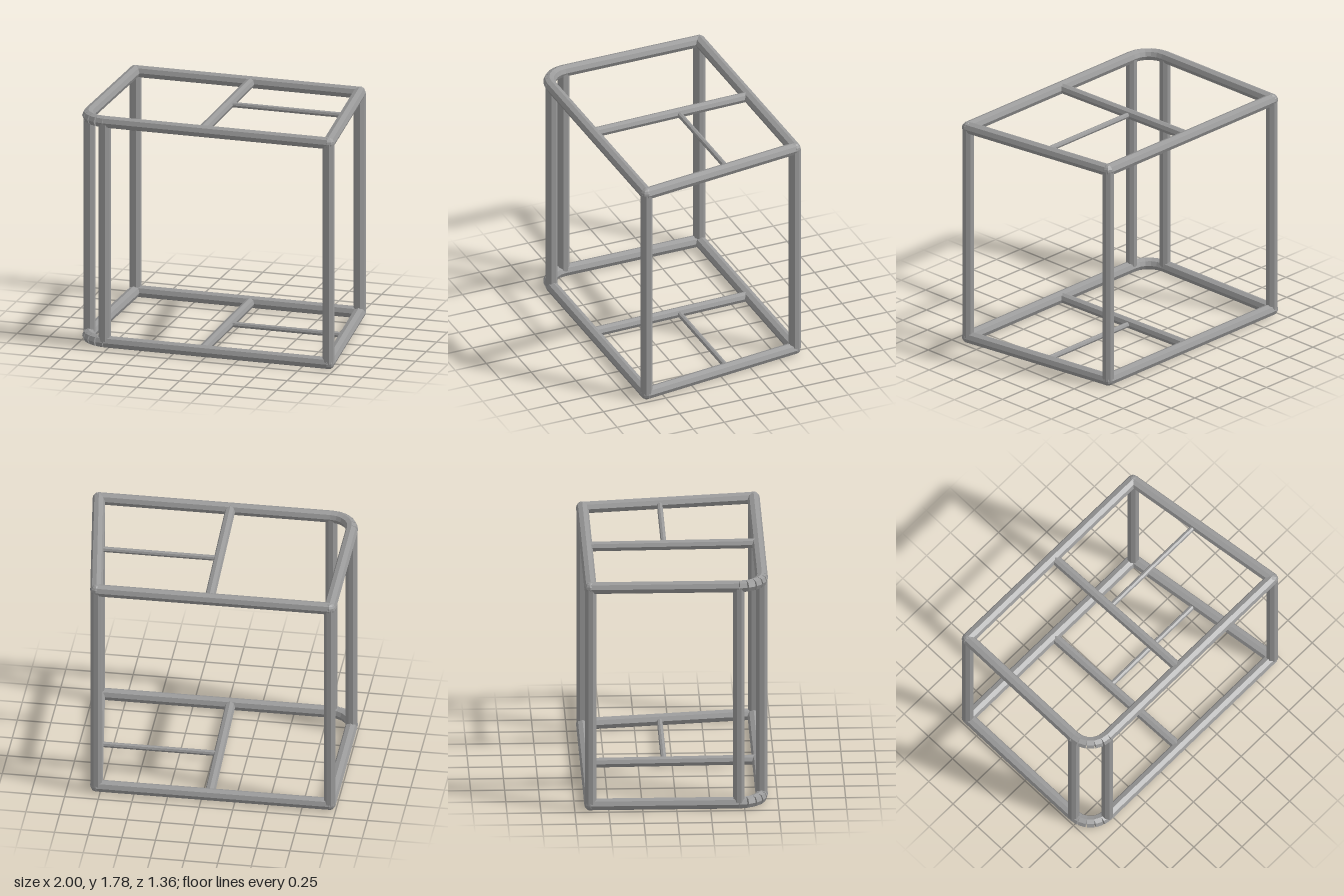
import * as THREE from 'three';

const R = 0.046;            // main tube radius
const LOW = 0.046, HIGH = 1.738; // heights of the two ring frames

export function createModel() {
  const model = new THREE.Group();
  model.name = 'tubeFrame';
  const steel = new THREE.MeshStandardMaterial({ color: 0x999999 });
  steel.name = 'greySteel';
  steel.flatShading = true;

  // Eight-sided straight tube between two points; turn rolls it about its axis
  function tube(name, a, b, radius, parent, turn = 0) {
    const dir = b.clone().sub(a);
    const geo = new THREE.CylinderGeometry(radius, radius, dir.length(), 8);
    geo.rotateY(turn);
    dir.normalize();
    const ref = Math.abs(dir.y) > 0.9 ? new THREE.Vector3(0, 0, 1) : new THREE.Vector3(0, 1, 0);
    const side = dir.clone().cross(ref).normalize();
    const up = side.clone().cross(dir);
    geo.applyMatrix4(new THREE.Matrix4().makeBasis(side, dir, up));
    const mesh = new THREE.Mesh(geo, steel);
    mesh.position.copy(a).add(b).multiplyScalar(0.5);
    mesh.name = name;
    parent.add(mesh);
  }

  // Plan positions (x, z)
  const backLeft = [0.78, -0.634], backRight = [-0.954, -0.634], frontLeft = [0.95, 0.632];
  const bend = 0.174, cx = -0.954 + bend, cz = 0.632 - bend;
  const bendSide = [-0.954, cz], bendFront = [cx, 0.632];

  // Lower and upper rings
  for (const [name, y] of [['lowerRing', LOW], ['upperRing', HIGH]]) {
    const ring = new THREE.Group();
    ring.name = name;
    model.add(ring);
    const bar = (label, p, q, r = R) =>
      tube(label, new THREE.Vector3(p[0], y, p[1]), new THREE.Vector3(q[0], y, q[1]), r, ring);

    bar('frontRail', bendFront, frontLeft);
    bar('leftRail', frontLeft, backLeft);
    bar('backRail', backLeft, backRight);
    bar('rightRail', backRight, bendSide);
    bar('middleRail', [-0.06, -0.634], [-0.03, 0.632], 0.038);
    bar('thinRail', [-0.045, -0.063], [0.857, -0.063], 0.021);

    // Rounded corner from short straight segments
    const steps = 5;
    const at = (i) => {
      const t = (i / steps) * Math.PI / 2;
      return [cx - bend * Math.cos(t), cz + bend * Math.sin(t)];
    };
    for (let i = 0; i < steps; i++) bar('bendSegment', at(i), at(i + 1));

    // Ball joints at the sharp corners
    for (const [x, z] of [backLeft, backRight, frontLeft]) {
      const ball = new THREE.Mesh(new THREE.SphereGeometry(R, 8, 8), steel);
      ball.position.set(x, y, z);
      ball.name = 'cornerJoint';
      ring.add(ball);
    }
  }

  // Upright posts
  for (const [x, z] of [backLeft, backRight, frontLeft, bendSide, bendFront]) {
    tube('post', new THREE.Vector3(x, LOW, z), new THREE.Vector3(x, HIGH, z), 0.045, model, Math.PI / 8);
  }
  return model;
}
